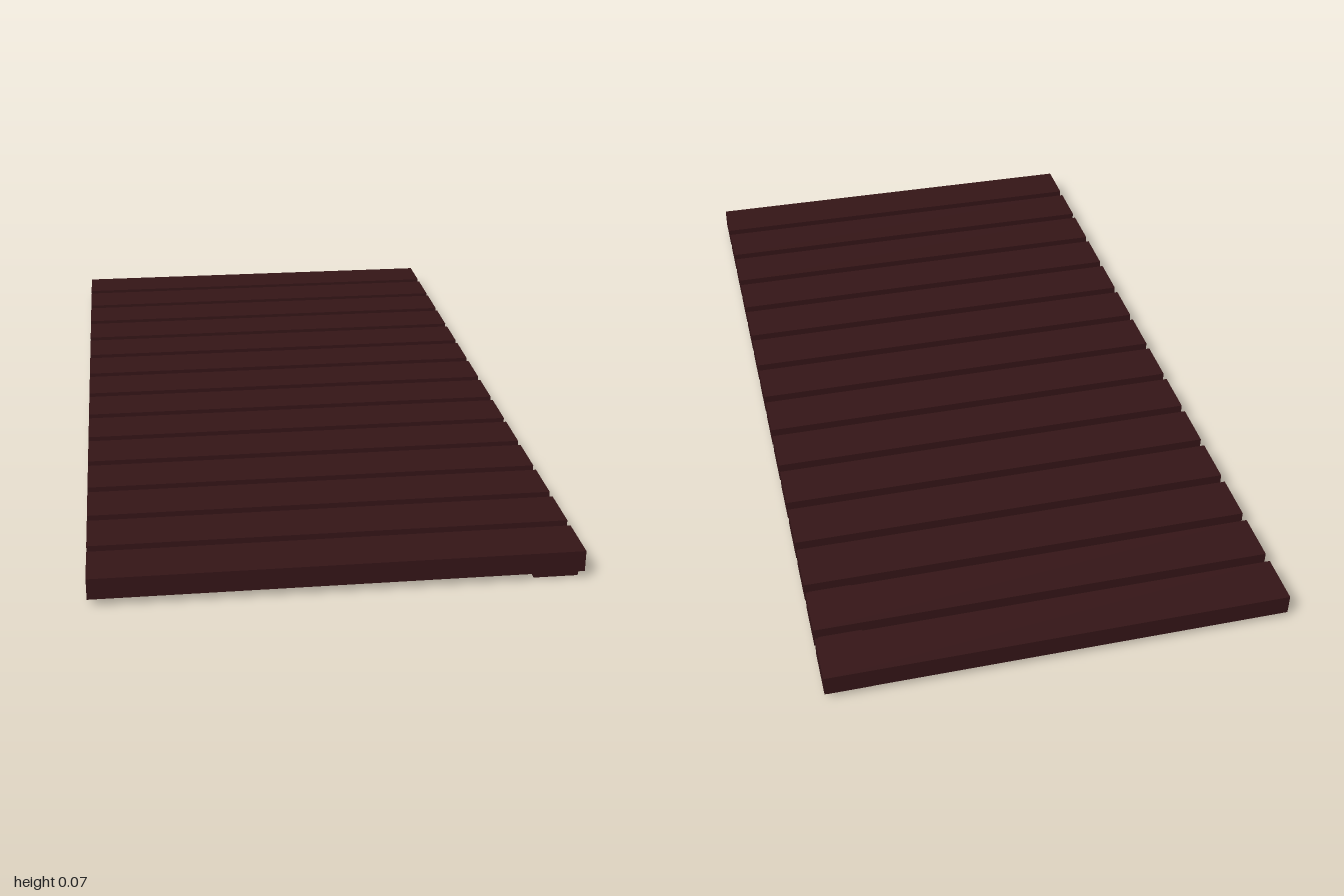
import * as THREE from 'three';

export function createModel() {
  const group = new THREE.Group();
  const wood = new THREE.MeshStandardMaterial({ color: 0x351517 });

  // Box given by its minimum and maximum corners
  const board = (name, min, max) => {
    const size = max.map((v, i) => v - min[i]);
    const mesh = new THREE.Mesh(new THREE.BoxGeometry(...size), wood);
    mesh.position.set(...max.map((v, i) => (v + min[i]) / 2));
    mesh.name = name;
    group.add(mesh);
  };

  // Row of evenly spaced slats
  const count = 14, depth = 0.12;
  const pitch = (2 - depth) / (count - 1);
  for (let i = 0; i < count; i++) {
    const z = -1 + i * pitch;
    board(`slat${i + 1}`, [-0.538, 0.018, z], [0.538, 0.067, z + depth]);
  }

  // Single rail under the left edge, let into the slats
  board('rail', [0.429, 0, -0.985], [0.528, 0.044, 0.985]);

  return group;
}
